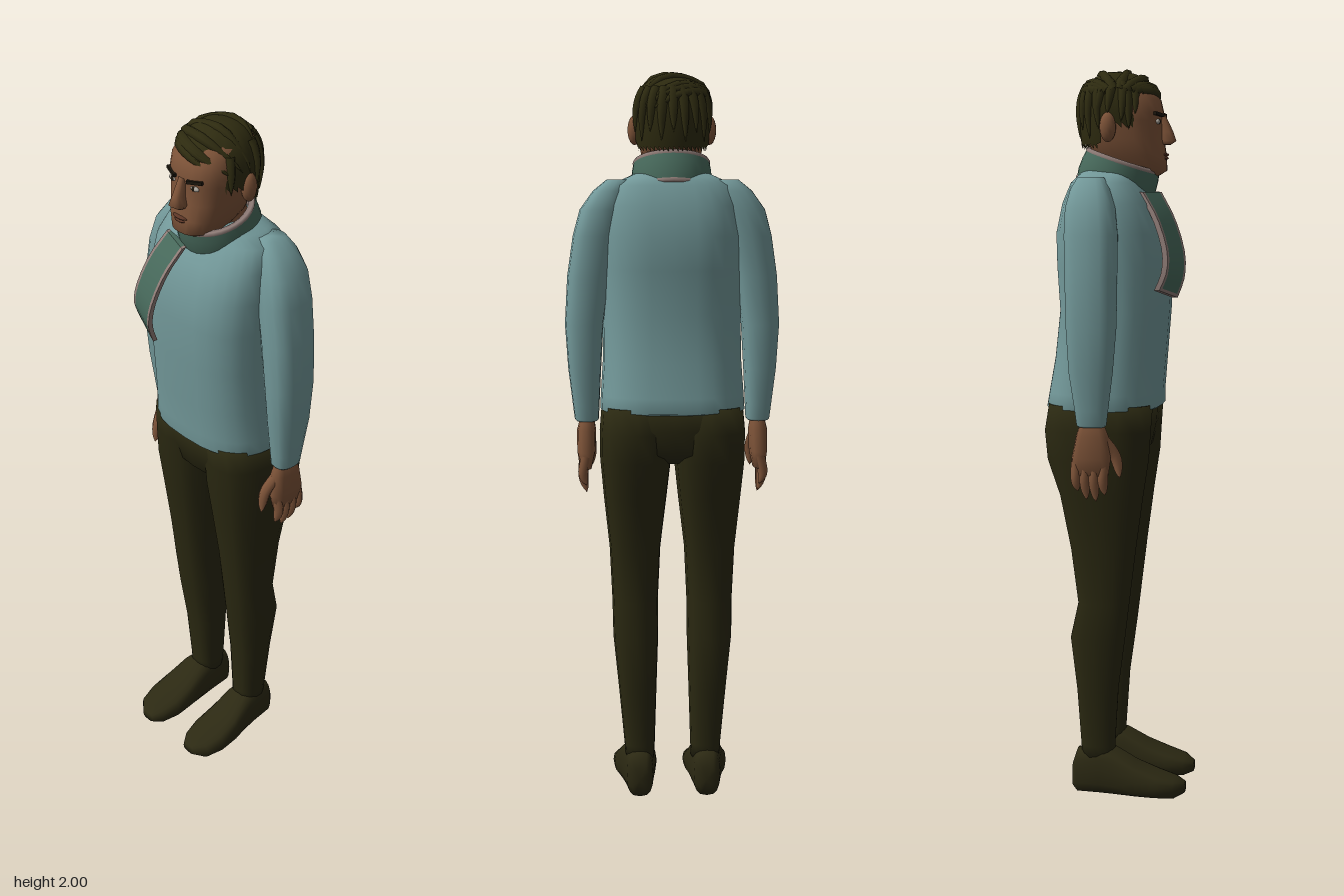
import * as THREE from 'three';

const mat = (name, color, double) => {
  const m = new THREE.MeshStandardMaterial({ color });
  m.name = name;
  if (double) m.side = THREE.DoubleSide;
  return m;
};

// Skin through rounded cross-sections [y, x0, x1, zFront, zBack]; side = -1 mirrors in x.
function loft(sections, { n = 16, e = 0.8, side = 1 } = {}) {
  const pos = [], idx = [];
  const pw = v => Math.sign(v) * Math.abs(v) ** e;
  for (const [y, x0, x1, zf, zb] of sections)
    for (let j = 0; j < n; j++) {
      const a = (j / n) * Math.PI * 2;
      pos.push(side * (x0 + x1) / 2 + pw(Math.sin(a)) * (x1 - x0) / 2, y,
        (zf + zb) / 2 + pw(Math.cos(a)) * (zf - zb) / 2);
    }
  const rows = sections.length, lo = rows * n, hi = lo + 1, top = (rows - 1) * n;
  for (const [y, x0, x1, zf, zb] of [sections[0], sections[rows - 1]])
    pos.push(side * (x0 + x1) / 2, y, (zf + zb) / 2);
  for (let j = 0; j < n; j++) {
    const k = (j + 1) % n;
    for (let i = 0; i < rows - 1; i++) {
      const a = i * n + j, b = i * n + k;
      idx.push(a, b, a + n, b, b + n, a + n);
    }
    idx.push(lo, k, j, hi, top + j, top + k);
  }
  const g = new THREE.BufferGeometry();
  g.setAttribute('position', new THREE.Float32BufferAttribute(pos, 3));
  g.setIndex(idx);
  g.computeVertexNormals();
  return g;
}

// Symmetric sections [y, halfWidth, zFront, zBack]
const sym = list => list.map(([y, w, f, b]) => [y, -w, w, f, b]);

// Tube that narrows to a point; a larger power gives a blunter tip.
function taper(points, r, power) {
  const curve = new THREE.CatmullRomCurve3(points), rows = 9, around = 7;
  const g = new THREE.TubeGeometry(curve, rows, r, around);
  const p = g.attributes.position, v = new THREE.Vector3();
  for (let i = 0; i < p.count; i++) {
    const t = Math.floor(i / (around + 1)) / rows, c = curve.getPointAt(t);
    v.fromBufferAttribute(p, i).sub(c).multiplyScalar(1 - t ** power).add(c);
    p.setXYZ(i, v.x, v.y, v.z);
  }
  return g;
}

export function createModel() {
  const root = new THREE.Group();
  root.name = 'standingMan';
  const sweater = mat('sweaterTeal', 0x73999a), trousers = mat('trouserOlive', 0x2a2811);
  const shoe = mat('shoeBrown', 0x2c2913), skin = mat('skin', 0x7d5338);
  const hair = mat('hairDark', 0x2e2b10, true), green = mat('scarfGreen', 0x47695b, true);
  const trim = mat('scarfTrim', 0x8f7c77, true), lip = mat('lips', 0x5c3626);
  const white = mat('eyeWhite', 0xa8a39a), dark = mat('browDark', 0x1a150c);
  const V = (x, y, z) => new THREE.Vector3(x, y, z);
  const add = (name, geo, m, parent = root) => {
    const mesh = new THREE.Mesh(geo, m);
    mesh.name = name;
    parent.add(mesh);
    return mesh;
  };
  const blob = (name, m, x, y, z, sx, sy, sz) =>
    add(name, new THREE.SphereGeometry(1, 14, 10).scale(sx, sy, sz).translate(x, y, z), m);

  // Body
  add('pelvis', loft(sym([[0.945, 0.05, 0.04, -0.12], [0.975, 0.15, 0.085, -0.175],
    [1.04, 0.196, 0.1, -0.188], [1.11, 0.192, 0.105, -0.185]]), { n: 24 }), trousers);
  add('sweaterBody', loft(sym([[1.085, 0.188, 0.112, -0.185], [1.09, 0.198, 0.118, -0.197],
    [1.13, 0.196, 0.118, -0.19], [1.22, 0.19, 0.125, -0.174], [1.35, 0.188, 0.135, -0.16],
    [1.47, 0.19, 0.14, -0.168], [1.56, 0.192, 0.132, -0.17], [1.64, 0.188, 0.105, -0.152],
    [1.695, 0.168, 0.06, -0.128], [1.715, 0.125, 0.045, -0.11], [1.735, 0.08, 0.04, -0.09]]),
  { n: 28, e: 0.75 }), sweater);

  for (const s of [1, -1]) {
    const tag = s > 0 ? 'left' : 'right';
    // Leg and shoe
    add(tag + 'Leg', loft([[0.1, 0.052, 0.132, 0, -0.092], [0.14, 0.05, 0.135, 0, -0.095],
      [0.3, 0.045, 0.15, 0.01, -0.105], [0.45, 0.04, 0.165, 0.03, -0.122],
      [0.55, 0.04, 0.167, 0.042, -0.1], [0.7, 0.033, 0.174, 0.06, -0.12],
      [0.85, 0.015, 0.19, 0.08, -0.15], [0.95, 0.004, 0.199, 0.095, -0.185],
      [1.03, 0, 0.2, 0.1, -0.193], [1.1, 0, 0.194, 0.105, -0.182]], { side: s }), trousers);
    add(tag + 'Shoe', loft([[-0.118, 0.07, 0.118, -0.015, -0.085], [-0.105, 0.057, 0.13, 0, -0.125],
      [-0.04, 0.05, 0.14, 0, -0.135], [0, 0.045, 0.148, 0, -0.13], [0.06, 0.04, 0.16, 0, -0.095],
      [0.12, 0.038, 0.163, 0, -0.07], [0.17, 0.05, 0.15, 0, -0.055],
      [0.198, 0.072, 0.115, -0.012, -0.04]], { side: s, e: 0.7 }).rotateX(Math.PI / 2), shoe);
    // Sleeve
    add(tag + 'Sleeve', loft([[1.055, 0.207, 0.263, -0.002, -0.074], [1.06, 0.202, 0.268, 0.002, -0.078],
      [1.1, 0.2, 0.273, 0.007, -0.083], [1.2, 0.195, 0.285, 0.02, -0.098],
      [1.32, 0.188, 0.293, 0.03, -0.105], [1.45, 0.17, 0.286, 0.03, -0.11],
      [1.56, 0.15, 0.27, 0.028, -0.115], [1.63, 0.13, 0.251, 0.018, -0.115],
      [1.68, 0.12, 0.215, 0, -0.105], [1.71, 0.12, 0.178, -0.02, -0.09]], { side: s }), sweater);
    // Hand
    const hand = new THREE.Group();
    hand.name = tag + 'Hand';
    root.add(hand);
    add('palm', loft([[0.925, 0.222, 0.255, 0.008, -0.09], [0.97, 0.212, 0.262, 0.014, -0.092],
      [1.03, 0.21, 0.262, 0.008, -0.08], [1.075, 0.217, 0.25, -0.01, -0.065]],
    { side: s, n: 12 }), skin, hand);
    [[0.87, -0.006], [0.852, -0.03], [0.857, -0.055], [0.88, -0.079]].forEach(([tip, z]) =>
      add('finger', taper([V(s * 0.238, 0.96, z), V(s * 0.246, 0.91, z), V(s * 0.236, tip, z + 0.004)],
        0.0145, 5), skin, hand));
    add('thumb', taper([V(s * 0.232, 1.02, -0.005), V(s * 0.222, 0.975, 0.024), V(s * 0.222, 0.915, 0.036)],
      0.016, 5), skin, hand);
    // Ear, eye and brow
    blob(tag + 'Ear', skin, s * 0.101, 1.842, -0.018, 0.019, 0.04, 0.022);
    blob(tag + 'Eye', white, s * 0.04, 1.857, 0.108, 0.015, 0.007, 0.006);
    blob(tag + 'Iris', dark, s * 0.039, 1.857, 0.1115, 0.006, 0.0065, 0.004);
    const brow = add(tag + 'Brow', new THREE.BoxGeometry(0.044, 0.009, 0.009), dark);
    brow.position.set(s * 0.043, 1.876, 0.111);
    brow.rotation.set(0, s * 0.35, s * 0.12);
  }

  // Head
  add('neck', new THREE.CylinderGeometry(0.064, 0.07, 0.14, 16).translate(0, 1.73, -0.015), skin);
  add('head', loft(sym([[1.713, 0.035, 0.105, 0.02], [1.727, 0.06, 0.127, -0.03], [1.765, 0.079, 0.125, -0.07],
    [1.81, 0.089, 0.118, -0.09], [1.86, 0.094, 0.114, -0.1], [1.88, 0.095, 0.117, -0.1],
    [1.915, 0.094, 0.109, -0.1], [1.95, 0.082, 0.082, -0.09], [1.975, 0.05, 0.045, -0.06]]), { n: 24 }), skin);
  add('nose', loft(sym([[1.796, 0.015, 0.137, 0.1], [1.806, 0.022, 0.152, 0.1],
    [1.83, 0.014, 0.144, 0.1], [1.875, 0.01, 0.122, 0.1]]), { n: 12 }), skin);
  blob('upperLip', lip, 0, 1.769, 0.121, 0.026, 0.005, 0.011);
  blob('lowerLip', lip, 0, 1.76, 0.121, 0.02, 0.005, 0.01);

  // Hair cap: a dome whose lower edge follows the hairline
  const hairAt = (az, p, lift = 1) => {
    const r = lift * (p > Math.PI / 2 ? 0.84 + 0.16 * Math.sin(p) : Math.sin(p) ** 0.8);
    const c = Math.cos(az);
    return V(0.105 * r * Math.sin(az), 1.878 + 0.113 * lift * Math.cos(p),
      -0.012 + (c > 0 ? 0.122 : 0.1) * r * c);
  };
  const rad = Math.PI / 180, smooth = THREE.MathUtils.smoothstep;
  const hairline = az => {
    const d = Math.abs(az) / rad;
    return (64 + 46 * smooth(d, 46, 60) + 36 * smooth(d, 95, 112)) * rad;
  };
  const cap = new THREE.SphereGeometry(1, 48, 14), cp = cap.attributes.position;
  for (let i = 0; i < cp.count; i++) {
    const v = V().fromBufferAttribute(cp, i), az = Math.atan2(v.x, v.z);
    const q = hairAt(az, Math.acos(THREE.MathUtils.clamp(v.y, -1, 1)) / Math.PI * hairline(az));
    cp.setXYZ(i, q.x, q.y, q.z);
  }
  cap.computeVertexNormals();
  add('hairCap', cap, hair);

  // Hair locks sweep along the dome between two directions [azimuth, polar] in degrees
  const locks = new THREE.Group();
  locks.name = 'hairLocks';
  root.add(locks);
  const dir = ([az, p]) => V().setFromSphericalCoords(1, p * rad, az * rad);
  const lock = (a, b, r) => {
    const pts = [0, 0.25, 0.5, 0.75, 1].map(t => {
      const d = dir(a).lerp(dir(b), t).normalize();
      return hairAt(Math.atan2(d.x, d.z), Math.acos(d.y), 0.97 + 0.05 * t * t);
    });
    add('lock', taper(pts, r, 2.5), hair, locks);
  };
  for (let i = 0; i < 11; i++) {
    const t = i / 10;
    lock([-38 - 80 * t, 58], [30 + 130 * t, 68 + 18 * Math.sin(t * 3) + (i % 2) * 6], 0.016);
  }
  for (let i = 0; i < 9; i++) lock([115 + i * 16, 48], [108 + i * 18, 112 + (i % 2) * 14], 0.015);
  for (let i = 0; i < 4; i++) lock([-52 - i * 18, 45], [-58 - i * 18, 92 + (i % 2) * 10], 0.014);
  for (const s of [1, -1]) lock([s * 66, 60], [s * 66, 112], 0.013);

  // Scarf collar, tilted up at the back, with trimmed edges
  const ring = (name, pts, m) => add(name, new THREE.LatheGeometry(pts.map(p => new THREE.Vector2(...p)), 32)
    .rotateX(0.32).translate(0, 1.715, -0.006), m);
  ring('scarfCollar', [[0.107, -0.037], [0.11, -0.015], [0.108, 0.015], [0.104, 0.037]], green);
  ring('scarfUpperTrim', [[0.104, 0.034], [0.106, 0.04], [0.102, 0.046], [0.09, 0.044], [0.082, 0.01]], trim);
  ring('scarfLowerTrim', [[0.088, -0.044], [0.107, -0.046], [0.11, -0.04], [0.108, -0.034]], trim);

  // Scarf tail: slabs bent along a hanging path, u across and v down
  const mid = new THREE.CatmullRomCurve3([V(-0.055, 1.67, 0.088), V(-0.078, 1.6, 0.13),
    V(-0.098, 1.51, 0.16), V(-0.109, 1.45, 0.16), V(-0.113, 1.4, 0.142)]);
  const slab = (name, u0, u1, v0, v1, m) => {
    const g = new THREE.BoxGeometry(1, 1, 1, 1, 10, 1), p = g.attributes.position;
    for (let i = 0; i < p.count; i++) {
      const u = u0 + (u1 - u0) * (p.getX(i) + 0.5), v = v0 + (v1 - v0) * (0.5 - p.getY(i));
      const c = mid.getPoint(v);
      p.setXYZ(i, c.x + u * 0.1, c.y - u * 0.025 * v, c.z + u * 0.035 + p.getZ(i) * 0.014);
    }
    g.computeVertexNormals();
    add(name, g, m);
  };
  slab('scarfTail', -0.4, 0.4, 0, 0.96, green);
  slab('scarfTailTrim', -0.5, -0.4, 0, 0.96, trim);
  slab('scarfTailTrim', 0.4, 0.5, 0, 0.96, trim);
  slab('scarfTailEnd', -0.5, 0.5, 0.96, 1, trim);
  return root;
}
